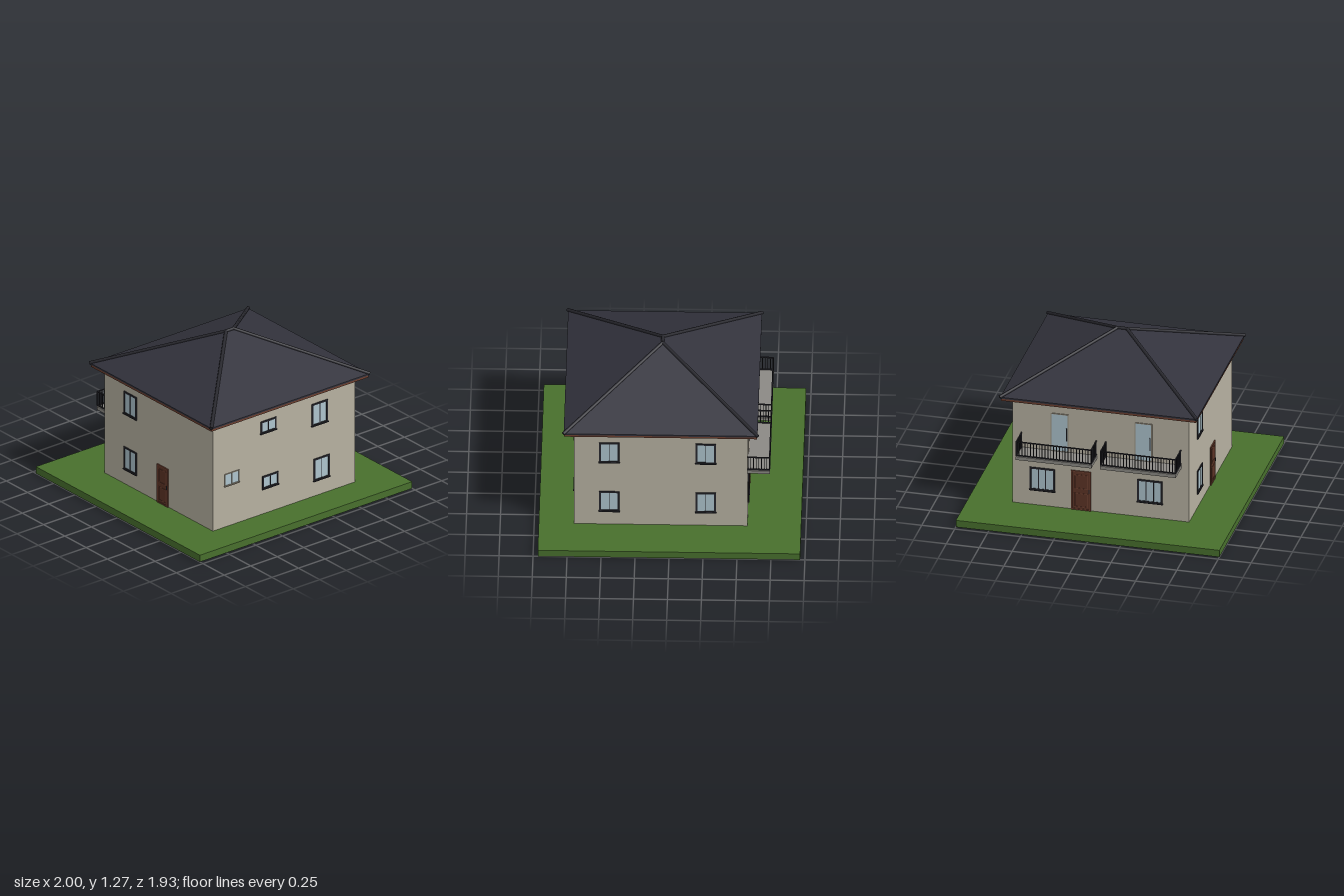
import * as THREE from 'three';
import { ConvexGeometry } from 'three/addons/geometries/ConvexGeometry.js';

const mat = (name, color) => {
  const m = new THREE.MeshStandardMaterial({ color });
  m.name = name;
  return m;
};

export function createModel() {
  const wall = mat('plaster', 0xb8b2a2);
  const grass = mat('grass', 0x48702d);
  const tile = mat('roofTile', 0x32323c);
  const trim = mat('darkTrim', 0x27272d);
  const wood = mat('eaveWood', 0x6e4030);
  const doorWood = mat('doorWood', 0x5e3426);
  const glass = mat('glass', 0xaec5ce);
  const concrete = mat('concrete', 0x8c8a85);
  const paleFrame = mat('paleFrame', 0x9c9484);

  const house = new THREE.Group();
  house.name = 'house';

  const add = (parent, name, geo, m, x = 0, y = 0, z = 0) => {
    const mesh = new THREE.Mesh(geo, m);
    mesh.name = name;
    mesh.position.set(x, y, z);
    parent.add(mesh);
    return mesh;
  };
  const box = (parent, name, m, w, h, d, x, y, z) =>
    add(parent, name, new THREE.BoxGeometry(w, h, d), m, x, y, z);

  // Lawn and wall block
  const HX = 0.67, ZF = 0.705, ZB = -0.57, ZC = (ZF + ZB) / 2, BASE = 0.055;
  box(house, 'lawn', grass, 2, BASE, 1.93, 0, BASE / 2, 0);
  box(house, 'walls', wall, HX * 2, 0.92 - BASE, ZF - ZB, 0, (0.92 + BASE) / 2, ZC);

  // Groups lying on a wall, with local +z pointing outwards
  const onWall = (name, side, u, y) => {
    const g = new THREE.Group();
    g.name = name;
    if (side === 'front') g.position.set(u, y, ZF);
    if (side === 'back') { g.position.set(u, y, ZB); g.rotation.y = Math.PI; }
    if (side === 'left') { g.position.set(HX, y, u); g.rotation.y = Math.PI / 2; }
    if (side === 'right') { g.position.set(-HX, y, u); g.rotation.y = -Math.PI / 2; }
    house.add(g);
    return g;
  };

  // Rectangular frame ring centred on the local origin
  const frameRing = (w, h, t, depth) => {
    const s = new THREE.Shape();
    const rect = (p, a, b) => p.moveTo(-a, -b).lineTo(a, -b).lineTo(a, b).lineTo(-a, b).closePath();
    rect(s, w / 2, h / 2);
    const hole = new THREE.Path();
    rect(hole, w / 2 - t, h / 2 - t);
    s.holes.push(hole);
    return new THREE.ExtrudeGeometry(s, { depth, bevelEnabled: false });
  };

  const addWindow = (side, u, y, w, h, panes = 2, m = trim) => {
    const g = onWall('window', side, u, y);
    const t = m === trim ? 0.013 : 0.006;
    box(g, 'windowGlass', glass, w - t, h - t, 0.004, 0, 0, 0.001);
    add(g, 'windowFrame', frameRing(w, h, t, 0.007), m);
    for (let i = 1; i < panes; i++)
      box(g, 'mullion', m, 0.006, h - t, 0.006, (i / panes - 0.5) * (w - 2 * t), 0, 0.003);
    box(g, 'windowSill', m, w + 0.008, 0.008, 0.012, 0, -h / 2, 0.006);
  };

  // Front windows
  addWindow('front', -0.148, 0.762, 0.145, 0.1);
  addWindow('front', 0.335, 0.72, 0.148, 0.18);
  addWindow('front', -0.493, 0.436, 0.135, 0.098, 2, paleFrame);
  addWindow('front', -0.13, 0.31, 0.15, 0.104);
  addWindow('front', 0.353, 0.268, 0.148, 0.18);
  // Side and back windows
  for (const y of [0.72, 0.268]) {
    addWindow('left', 0.447, y, 0.148, 0.182);
    addWindow('left', -0.263, y, 0.148, 0.182);
    addWindow('right', -0.263, y, 0.148, 0.182);
  }
  addWindow('back', 0.445, 0.27, 0.19, 0.185, 3);
  addWindow('back', -0.372, 0.27, 0.19, 0.185, 3);

  // Panelled wooden doors
  const addDoor = (side, u, w, h) => {
    const g = onWall('entranceDoor', side, u, BASE + h / 2);
    box(g, 'doorLeaf', doorWood, w, h, 0.008, 0, 0, 0.002);
    add(g, 'doorFrame', frameRing(w, h, 0.01, 0.009), wood);
    for (const dy of [-0.25, 0.22])
      add(g, 'doorPanel', frameRing(w * 0.7, h * 0.36, 0.006, 0.008), wood, 0, dy * h, 0);
    box(g, 'doorHandle', trim, 0.006, 0.03, 0.012, w * 0.42, 0, 0.006);
  };
  addDoor('back', 0.15, 0.15, 0.32);
  addDoor('right', 0.118, 0.13, 0.31);

  // Balconies with glazed doors
  const addBalcony = (xc, doorX) => {
    const door = onWall('balconyDoor', 'back', doorX, 0.67);
    box(door, 'balconyDoorGlass', glass, 0.125, 0.3, 0.005, 0, 0, 0.001);
    add(door, 'balconyDoorFrame', frameRing(0.135, 0.31, 0.007, 0.006), paleFrame);
    box(door, 'balconyDoorHandle', trim, 0.007, 0.1, 0.01, 0.052, -0.01, 0.005);

    const g = new THREE.Group();
    g.name = 'balcony';
    g.position.set(xc, 0, ZB);
    house.add(g);
    const W = 0.575, D = 0.165, t = 0.008;
    box(g, 'balconySlab', concrete, W, 0.027, D, 0, 0.503, -D / 2);
    for (const y of [0.526, 0.637]) {
      box(g, 'frontRail', trim, W, t, t, 0, y, -D + t / 2);
      for (const s of [-1, 1])
        box(g, 'sideRail', trim, t, t, D, s * (W - t) / 2, y, -D / 2);
    }
    const baluster = (x, z, s = 0.005) => box(g, 'baluster', trim, s, 0.115, s, x, 0.58, z);
    for (let i = 0; i <= 26; i++)
      baluster((i / 26 - 0.5) * (W - t), -D + t / 2, i % 26 ? 0.005 : 0.009);
    for (let i = 0; i < 8; i++)
      for (const s of [-1, 1]) baluster(s * (W - t) / 2, -0.004 - i * 0.0195);
  };
  addBalcony(0.3175, 0.312);
  addBalcony(-0.3225, -0.323);

  // Hipped roof over a flat wooden eave
  const RX = 0.745, RZ = 0.713, EAVE = 0.932, TOP = 1.258, RIDGE = 0.036;
  box(house, 'eaveBoard', wood, RX * 2 - 0.008, 0.02, RZ * 2 - 0.008, 0, 0.924, ZC);
  const points = [];
  for (const s of [-1, 1]) {
    points.push(new THREE.Vector3(s * RIDGE, TOP, ZC));
    for (const k of [-1, 1])
      for (const y of [EAVE, EAVE + 0.012])
        points.push(new THREE.Vector3(s * RX, y, ZC + k * RZ));
  }
  add(house, 'roof', new ConvexGeometry(points), tile);

  // Rounded caps along the ridge and the four hips
  const addCap = (name, a, b) => {
    const dir = b.clone().sub(a);
    const cap = add(house, name, new THREE.CylinderGeometry(0.013, 0.013, dir.length(), 8), trim);
    cap.position.copy(a).add(b).multiplyScalar(0.5);
    cap.quaternion.setFromUnitVectors(new THREE.Vector3(0, 1, 0), dir.normalize());
  };
  const ridgeEnd = (s) => new THREE.Vector3(s * RIDGE, TOP, ZC);
  addCap('ridgeCap', ridgeEnd(-1), ridgeEnd(1));
  for (const s of [-1, 1])
    for (const k of [-1, 1])
      addCap('hipCap', ridgeEnd(s), new THREE.Vector3(s * (RX + 0.003), EAVE + 0.013, ZC + k * (RZ + 0.003)));

  return house;
}
